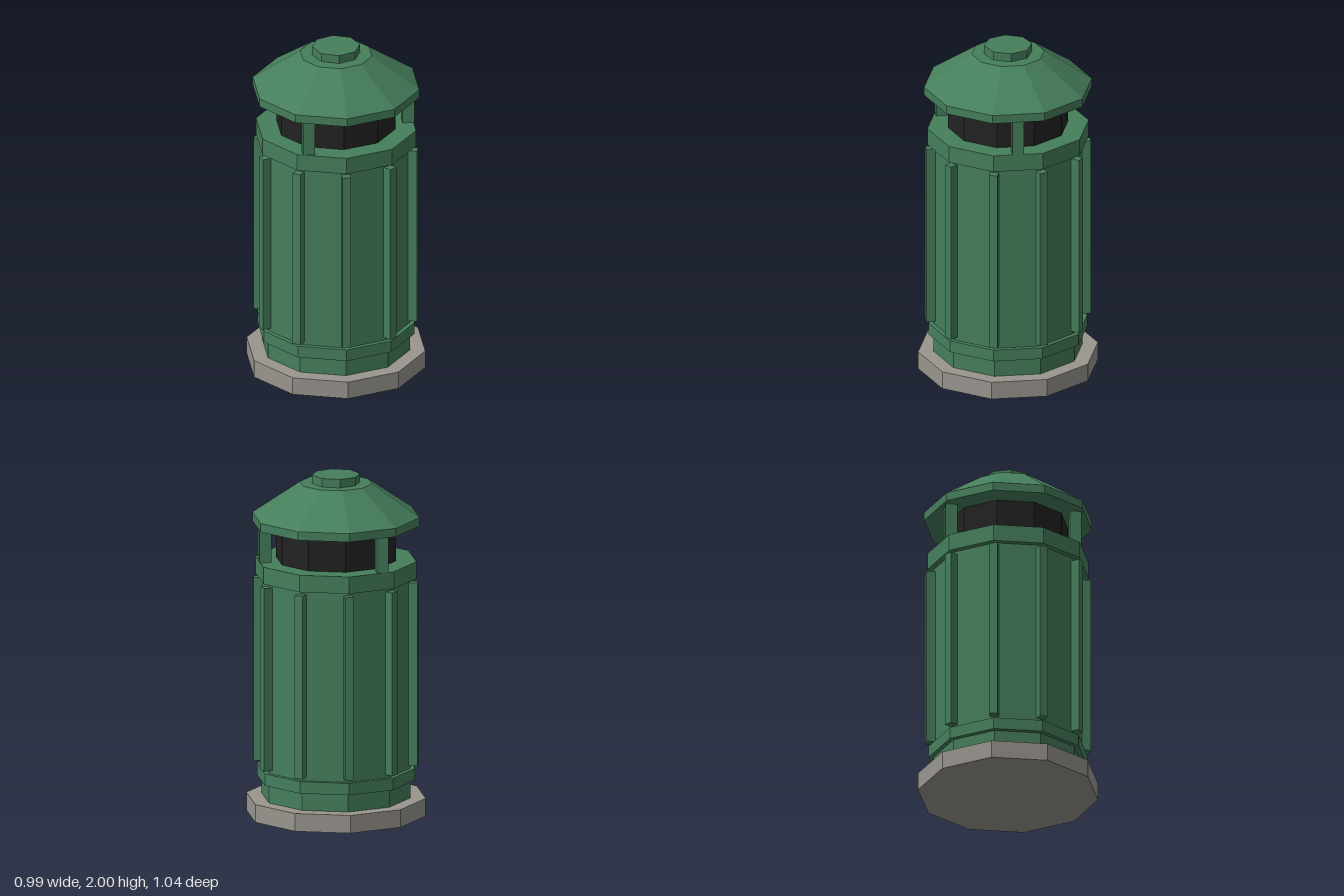
import * as THREE from 'three';

export function createModel() {
  const model = new THREE.Group();
  model.name = 'litterBin';

  const paint = (name, color) => {
    const m = new THREE.MeshStandardMaterial({ color, flatShading: true });
    m.name = name;
    return m;
  };
  const green = paint('greenPaint', 0x467f5c);
  const stone = paint('stone', 0x99958e);
  const dark = paint('darkInterior', 0x222222);

  const add = (name, geometry, material, x, y, z) => {
    const mesh = new THREE.Mesh(geometry, material);
    mesh.name = name;
    mesh.position.set(x, y, z);
    model.add(mesh);
    return mesh;
  };

  // A faceted drum between two heights, with a corner pointing to the front
  const drum = (name, y0, y1, rBottom, rTop, material = green, sides = 10) =>
    add(name, new THREE.CylinderGeometry(rTop, rBottom, y1 - y0, sides), material, 0, (y0 + y1) / 2, 0);

  drum('base', 0, 0.105, 0.522, 0.522, stone);
  drum('plinth', 0.105, 0.21, 0.433, 0.433);
  drum('lowerBand', 0.21, 0.28, 0.46, 0.46);
  drum('body', 0.28, 1.4, 0.433, 0.433);
  drum('upperBand', 1.4, 1.5, 0.468, 0.468);
  drum('liner', 1.5, 1.71, 0.348, 0.348, dark);
  drum('roofRim', 1.71, 1.76, 0.487, 0.487);
  drum('roof', 1.76, 1.95, 0.487, 0.21);
  drum('roofKnob', 1.95, 2, 0.139, 0.139, green, 8);

  // Upright ribs on the ten corners of the body
  const rib = new THREE.BoxGeometry(0.05, 1.08, 0.06);
  for (let i = 0; i < 10; i++) {
    const a = (i / 10) * Math.PI * 2;
    add('rib', rib, green, Math.sin(a) * 0.447, 0.84, Math.cos(a) * 0.447).rotation.y = a;
  }

  // Three square posts carrying the roof
  const post = new THREE.BoxGeometry(0.068, 0.21, 0.068);
  for (let i = 0; i < 3; i++) {
    const a = (i / 3) * Math.PI * 2;
    add('roofPost', post, green, Math.cos(a) * 0.416, 1.605, Math.sin(a) * 0.416);
  }

  return model;
}
